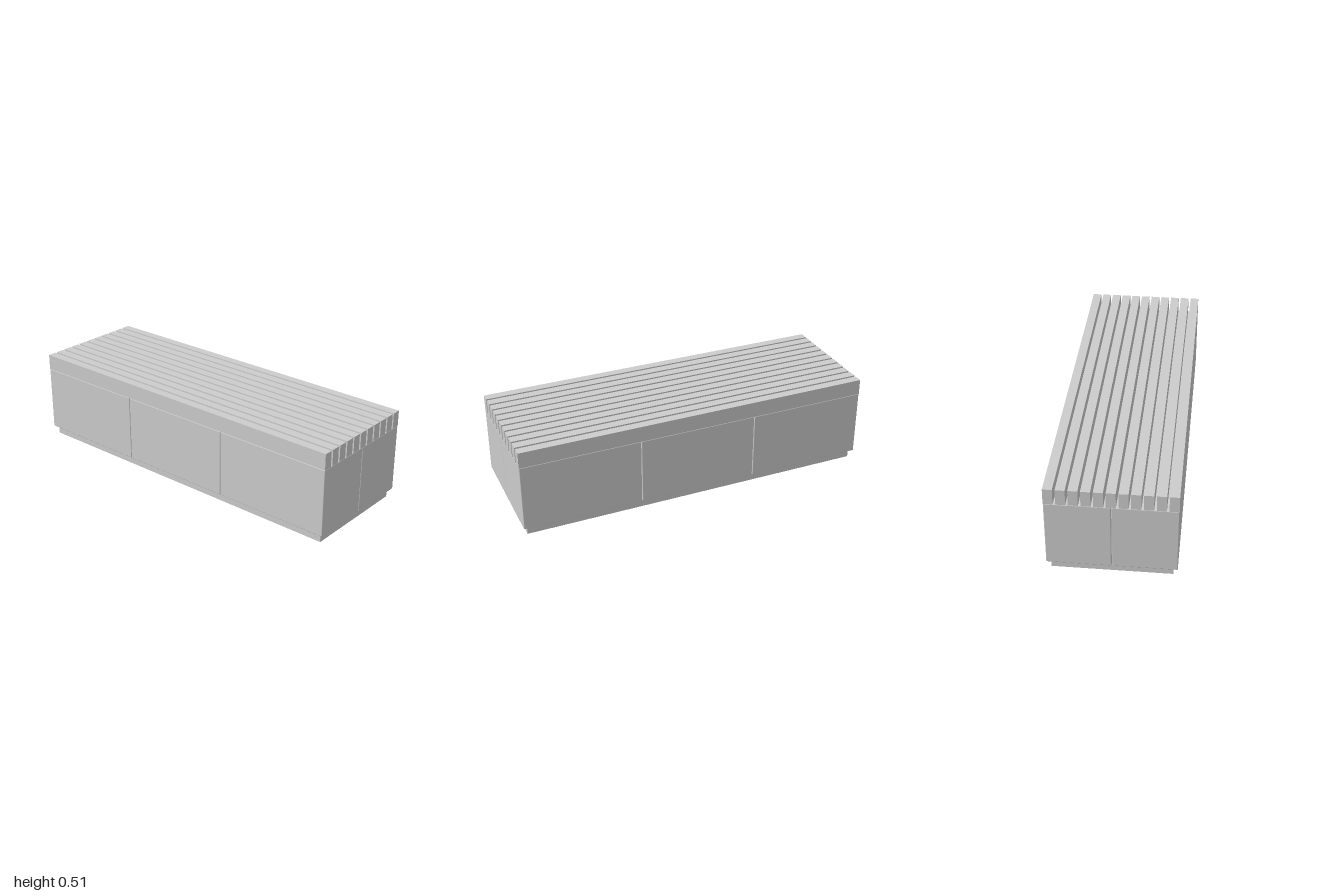
import * as THREE from 'three';
import { RoundedBoxGeometry } from 'three/addons/geometries/RoundedBoxGeometry.js';

const WIDTH = 0.666, LENGTH = 2;
const PLINTH_TOP = 0.048, BLOCK_TOP = 0.424, SLAT_TOP = 0.513;

export function createModel() {
  const model = new THREE.Group();
  model.name = 'slattedBench';
  const material = new THREE.MeshStandardMaterial({ color: 0xcccccc });

  const add = (parent, name, geometry, x, y, z) => {
    const mesh = new THREE.Mesh(geometry, material);
    mesh.name = name;
    mesh.position.set(x, y, z);
    parent.add(mesh);
  };
  const group = (name) => {
    const g = new THREE.Group();
    g.name = name;
    model.add(g);
    return g;
  };

  // Recessed plinth
  add(model, 'plinth', new THREE.BoxGeometry(0.622, PLINTH_TOP, 1.956), 0, PLINTH_TOP / 2, 0);

  // Body: two by three blocks with softened edges and fine joints
  const body = group('body');
  const joint = 0.002, columns = 2, rows = 3;
  const blockW = (WIDTH - joint * (columns - 1)) / columns;
  const blockL = (LENGTH - joint * (rows - 1)) / rows;
  const blockH = BLOCK_TOP - PLINTH_TOP;
  const blockGeometry = new RoundedBoxGeometry(blockW, blockH, blockL, 2, 0.004);
  for (let i = 0; i < columns; i++) {
    for (let j = 0; j < rows; j++) {
      add(body, 'bodyBlock', blockGeometry,
        (i - (columns - 1) / 2) * (blockW + joint),
        PLINTH_TOP + blockH / 2,
        (j - (rows - 1) / 2) * (blockL + joint));
    }
  }

  // Seat: evenly spaced slats running the full length
  const seat = group('seat');
  const slats = 11, slatW = 0.049, slatH = SLAT_TOP - BLOCK_TOP;
  const pitch = (WIDTH - slatW) / (slats - 1);
  const slatGeometry = new THREE.BoxGeometry(slatW, slatH, LENGTH);
  for (let i = 0; i < slats; i++) {
    add(seat, 'seatSlat', slatGeometry, (i - (slats - 1) / 2) * pitch, BLOCK_TOP + slatH / 2, 0);
  }

  return model;
}
